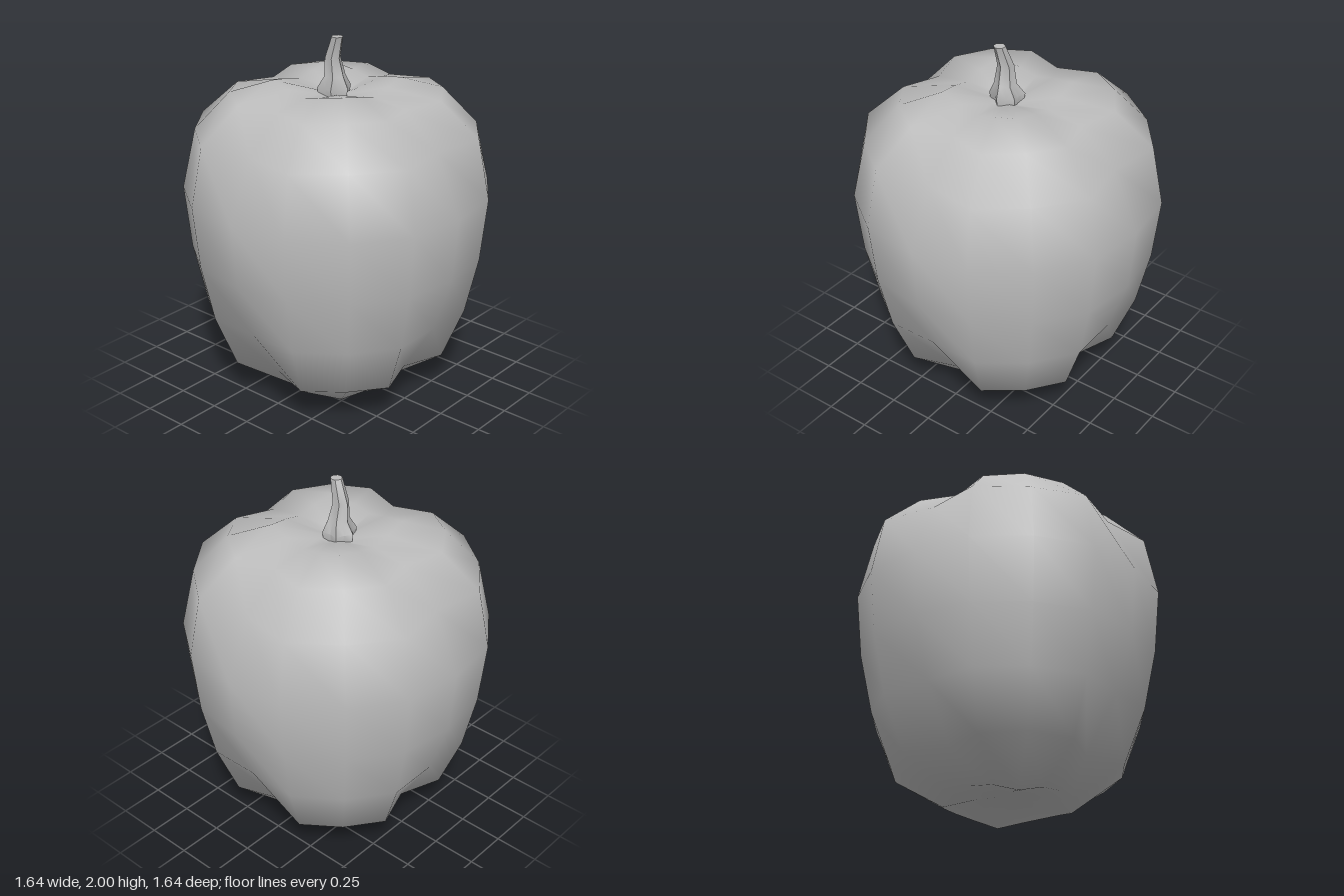
import * as THREE from 'three';
import { toCreasedNormals } from 'three/addons/utils/BufferGeometryUtils.js';

// Closed skin through rings of points (top to bottom), capped by a centre point at each end
function loft(top, rings, bottom) {
  const n = rings[0].length;
  const points = [top, ...rings.flat(), bottom];
  const at = (i, j) => 1 + i * n + (j % n);
  const last = points.length - 1;
  const index = [];
  for (let j = 0; j < n; j++) {
    index.push(0, at(0, j), at(0, j + 1));
    for (let i = 0; i < rings.length - 1; i++) {
      const a = at(i, j), b = at(i, j + 1), c = at(i + 1, j), d = at(i + 1, j + 1);
      index.push(a, c, d, a, d, b);
    }
    index.push(last, at(rings.length - 1, j + 1), at(rings.length - 1, j));
  }
  const geometry = new THREE.BufferGeometry();
  geometry.setAttribute('position', new THREE.Float32BufferAttribute(points.flat(), 3));
  geometry.setIndex(index);
  geometry.computeVertexNormals();
  return geometry;
}

// Ring of points; pick(j) gives [radius, height] of column j
function ring(n, pick, cx = 0, cz = 0) {
  return Array.from({ length: n }, (_, j) => {
    const a = (j / n) * Math.PI * 2;
    const [r, y] = pick(j);
    return [cx + r * Math.sin(a), y, cz + r * Math.cos(a)];
  });
}

export function createModel() {
  const group = new THREE.Group();
  const grey = new THREE.MeshStandardMaterial({ color: 0xbcbcbc });
  grey.name = 'plain grey';

  // Four-lobed body: [radius, height] at the valley, the shoulder and the lobe centre
  const profile = [
    [[0.10, 1.68], [0.10, 1.69], [0.10, 1.70]],
    [[0.26, 1.71], [0.28, 1.735], [0.34, 1.76]],
    [[0.46, 1.68], [0.57, 1.69], [0.57, 1.70]],
    [[0.67, 1.50], [0.78, 1.50], [0.76, 1.50]],
    [[0.82, 1.17], [0.845, 1.17], [0.835, 1.17]],
    [[0.79, 0.82], [0.81, 0.82], [0.80, 0.82]],
    [[0.68, 0.50], [0.74, 0.50], [0.73, 0.50]],
    [[0.49, 0.20], [0.62, 0.20], [0.62, 0.21]],
    [[0.34, 0.04], [0.34, 0.03], [0.34, 0.00]],
    [[0.14, 0.06], [0.15, 0.06], [0.16, 0.05]],
  ];
  const column = [0, 1, 2, 1];
  const body = new THREE.Mesh(
    loft([0, 1.67, 0], profile.map((row) => ring(16, (j) => row[column[j % 4]])), [0, 0.08, 0]),
    grey
  );
  body.name = 'pepperBody';
  group.add(body);

  // Ribbed, bent stem: [height, centre x, centre z, rib radius, groove radius]
  const stemRows = [
    [2.0, 0.03, 0.03, 0.032, 0.030],
    [1.88, -0.01, 0.02, 0.044, 0.036],
    [1.78, 0.0, 0.015, 0.060, 0.046],
    [1.72, -0.01, 0.01, 0.095, 0.072],
    [1.66, -0.01, 0.01, 0.085, 0.065],
  ];
  const stemRings = stemRows.map(([y, x, z, rib, groove]) =>
    ring(12, (j) => [j % 2 ? rib : groove, y], x, z));
  const stem = new THREE.Mesh(
    toCreasedNormals(loft([0.03, 2.0, 0.03], stemRings, [-0.01, 1.66, 0.01]), 0.7),
    grey
  );
  stem.name = 'stem';
  group.add(stem);

  return group;
}
